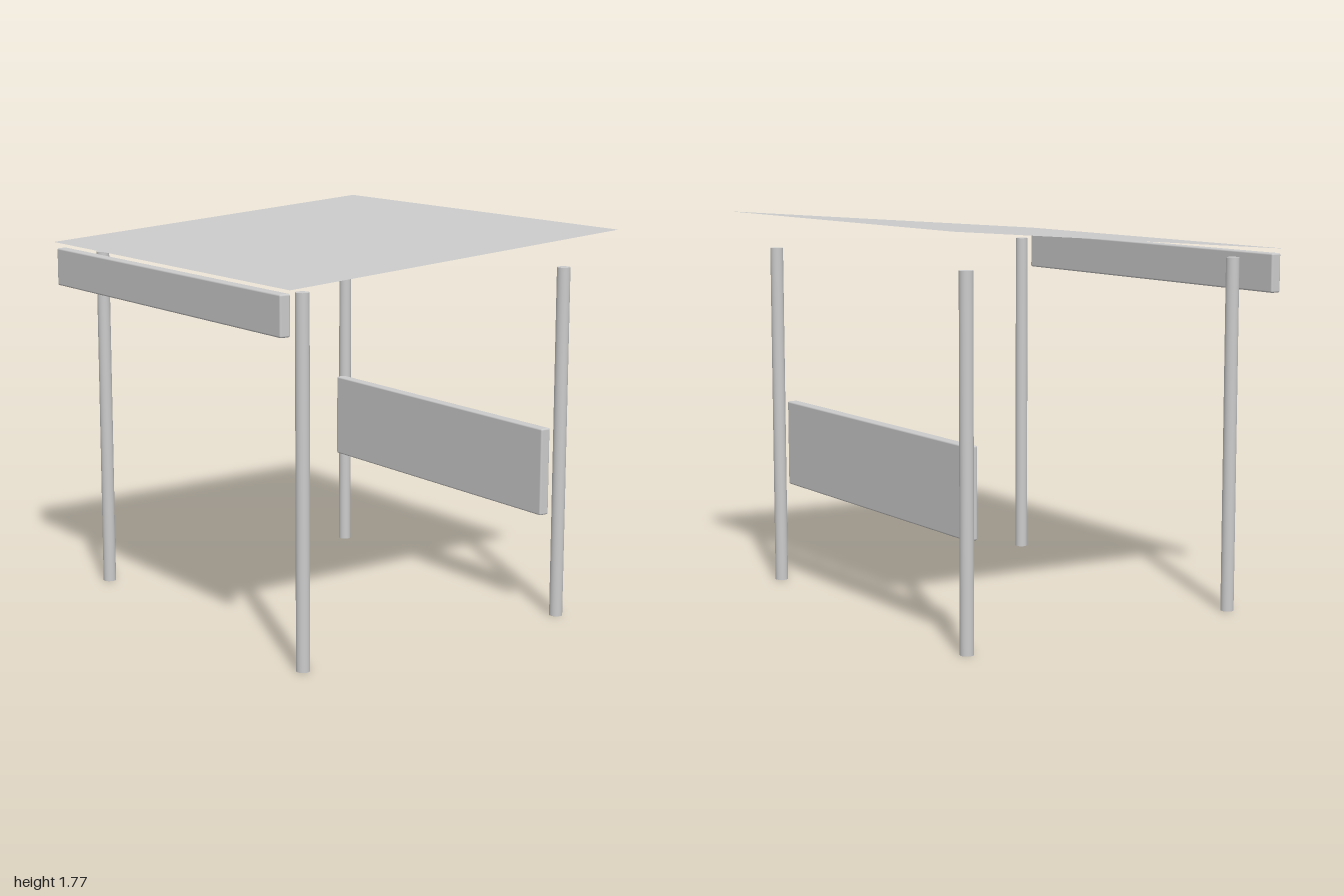
import * as THREE from 'three';
import { RoundedBoxGeometry } from 'three/addons/geometries/RoundedBoxGeometry.js';

export function createModel() {
  const group = new THREE.Group();
  const grey = new THREE.MeshStandardMaterial({ color: 0xcccccc });
  const sheet = new THREE.MeshStandardMaterial({ color: 0xcccccc, side: THREE.DoubleSide });

  const add = (name, geometry, x, y, z, material = grey) => {
    const mesh = new THREE.Mesh(geometry, material);
    mesh.name = name;
    mesh.position.set(x, y, z);
    group.add(mesh);
    return mesh;
  };

  // Four round posts
  const post = new THREE.CylinderGeometry(0.03, 0.03, 1.6, 24);
  for (const [side, x] of [['right', -0.69], ['left', 0.707]]) {
    for (const [end, z] of [['Front', 0.835], ['Back', -0.835]]) {
      add(`${side}${end}Post`, post, x, 0.8, z);
    }
  }

  // Thin sloping canopy, higher on the counter side
  const low = 1.64, high = 1.77, width = 1.733;
  const canopy = new THREE.PlaneGeometry(Math.hypot(width, high - low), 2).rotateX(-Math.PI / 2);
  const roof = add('canopy', canopy, 0.006, (low + high) / 2, 0, sheet);
  roof.rotation.z = Math.atan2(high - low, width);

  // Boards with softly rounded edges
  add('counterBoard', new RoundedBoxGeometry(0.05, 0.4, 1.6, 3, 0.008), 0.655, 0.67, 0);
  add('signBoard', new RoundedBoxGeometry(0.05, 0.175, 1.895, 3, 0.008), -0.847, 1.53, 0);

  return group;
}
